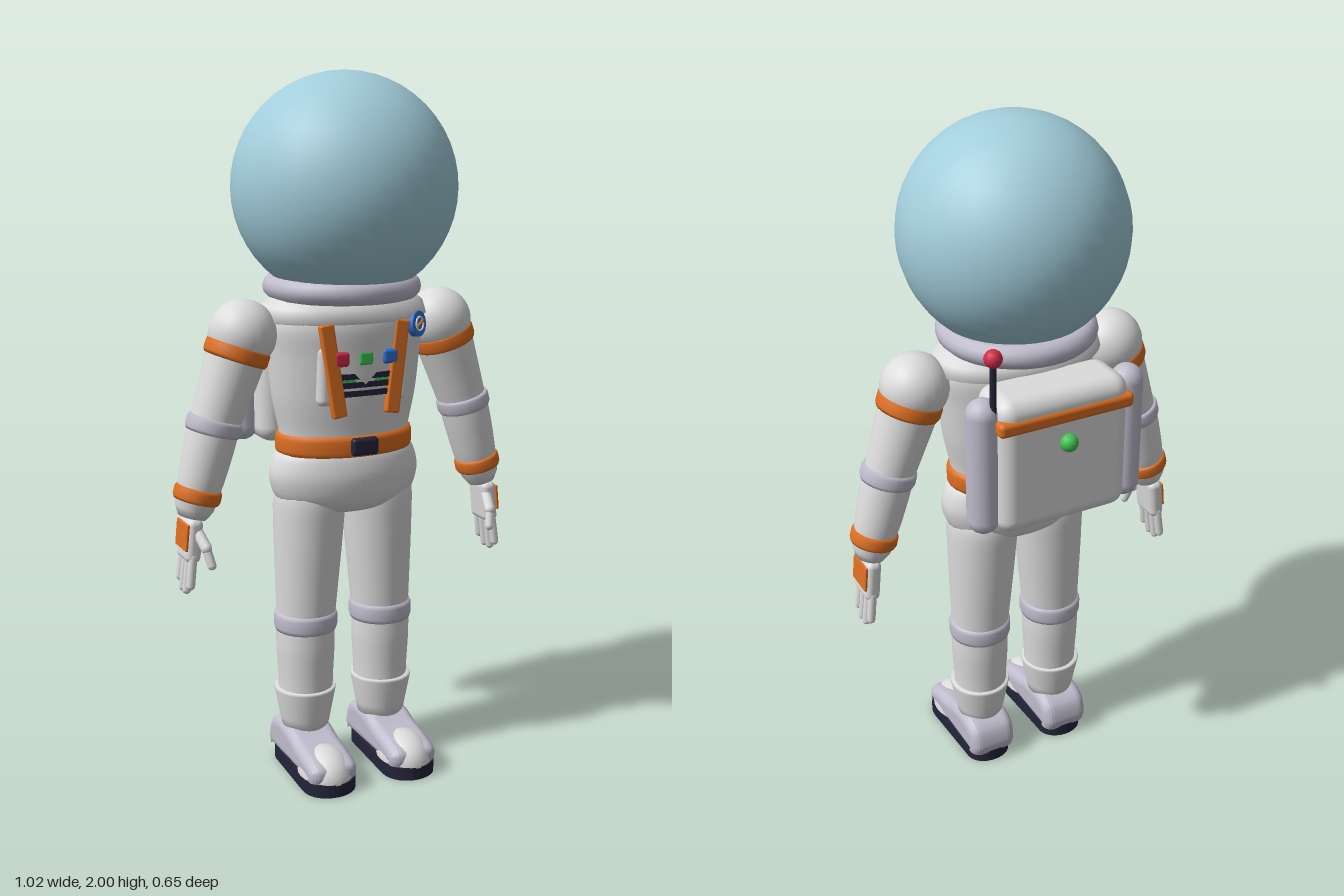
import * as THREE from 'three';
import { RoundedBoxGeometry } from 'three/addons/geometries/RoundedBoxGeometry.js';

const paint = (name, color) => new THREE.MeshStandardMaterial({ name, color });

export function createModel() {
  const white = paint('suit white', 0xdcdcdc);
  const lilac = paint('lilac grey', 0xc0bccd);
  const orange = paint('orange', 0xdd6f22);
  const glass = paint('helmet blue', 0xa2cddb);
  const dark = paint('dark navy', 0x24243a);
  const red = paint('red', 0xd02a48);
  const green = paint('green', 0x40c352);
  const blue = paint('blue', 0x2f6fd0);

  const model = new THREE.Group();
  model.name = 'astronaut';

  const add = (parent, name, geometry, material, x = 0, y = 0, z = 0) => {
    const mesh = new THREE.Mesh(geometry, material);
    mesh.name = name;
    mesh.position.set(x, y, z);
    parent.add(mesh);
    return mesh;
  };
  const group = (parent, name, x, y, z) => {
    const g = new THREE.Group();
    g.name = name;
    g.position.set(x, y, z);
    parent.add(g);
    return g;
  };
  // Smooth turned body; points are [radius, y] from bottom to top
  const turned = (points, smooth = true, segments = 32) => {
    let p = points.map(([r, y]) => new THREE.Vector2(r, y));
    if (smooth) p = new THREE.SplineCurve(p).getPoints(28).map(v => new THREE.Vector2(Math.max(0, v.x), v.y));
    return new THREE.LatheGeometry(p, segments);
  };
  // Soft band around a limb
  const band = (r, h) => turned([[r - 0.02, -h / 2], [r - 0.004, -h / 2 + 0.003], [r, -h / 4],
    [r, h / 4], [r - 0.004, h / 2 - 0.003], [r - 0.02, h / 2]], false);
  const box = (w, h, d, r) => new RoundedBoxGeometry(w, h, d, 3, r);
  // Round rod through a few points with domed ends
  const rod = (parent, name, a, b, r, material) => {
    const from = new THREE.Vector3(...a), to = new THREE.Vector3(...b);
    const mesh = add(parent, name, new THREE.CapsuleGeometry(r, from.distanceTo(to), 4, 10), material);
    mesh.position.copy(from).lerp(to, 0.5);
    mesh.quaternion.setFromUnitVectors(new THREE.Vector3(0, 1, 0), to.sub(from).normalize());
    return mesh;
  };

  // Helmet and neck ring
  add(model, 'helmet', new THREE.SphereGeometry(0.312, 36, 24), glass, 0, 1.688, 0.012);
  const ring = add(model, 'neckRing', new THREE.TorusGeometry(0.188, 0.034, 12, 36), lilac, 0, 1.418, -0.005);
  ring.rotation.x = Math.PI / 2;

  // Torso, yoke, hips and belt
  const flatten = (mesh, depth) => { mesh.scale.z = depth; return mesh; };
  flatten(add(model, 'torso', turned([[0.19, 0.96], [0.195, 1.02], [0.215, 1.12], [0.228, 1.24],
    [0.235, 1.32], [0.21, 1.38]]), white, 0, 0, 0.01), 0.64);
  flatten(add(model, 'yoke', turned([[0.225, 1.325], [0.25, 1.335], [0.24, 1.37], [0.2, 1.4], [0.15, 1.405]], false),
    white), 0.67);
  flatten(add(model, 'hips', turned([[0, 0.775], [0.13, 0.785], [0.2, 0.82], [0.225, 0.885], [0.215, 0.94],
    [0.195, 0.97]]), white, 0, 0, 0.01), 0.6);
  flatten(add(model, 'belt', band(0.205, 0.062), orange, 0, 0.985, 0.01), 0.66);
  add(model, 'buckle', box(0.08, 0.05, 0.03, 0.01), dark, 0, 0.987, 0.143);

  // Chest panel with buttons and display
  add(model, 'chestPanel', box(0.27, 0.17, 0.07, 0.02), white, 0, 1.19, 0.108);
  [[-0.072, red], [0, green], [0.075, blue]].forEach(([x, m]) =>
    add(model, 'chestButton', box(0.046, 0.042, 0.024, 0.01), m, x, 1.236, 0.146));
  [1.186, 1.162, 1.138].forEach(y => add(model, 'displayBar', new THREE.BoxGeometry(0.15, 0.016, 0.014), dark, 0, y, 0.144));
  add(model, 'displayLine', new THREE.BoxGeometry(0.14, 0.007, 0.012), green, 0, 1.174, 0.144);
  for (const s of [1, -1]) {
    const strap = add(model, 'strap', box(0.042, 0.26, 0.024, 0.006), orange, s * 0.097, 1.205, 0.145);
    strap.rotation.set(-0.04, 0, -s * 0.14);
  }
  // Round badge on the left breast
  const badge = group(model, 'badge', 0.172, 1.314, 0.118);
  badge.rotation.set(-0.1, 0.55, 0);
  add(badge, 'badgeDisc', new THREE.CylinderGeometry(0.036, 0.036, 0.02, 24), blue).rotation.x = Math.PI / 2;
  add(badge, 'badgeRing', new THREE.TorusGeometry(0.019, 0.003, 6, 20), white, 0, 0, 0.011);
  add(badge, 'badgeStripe', new THREE.BoxGeometry(0.034, 0.006, 0.006), orange, 0, 0, 0.012).rotation.z = 0.5;

  // Backpack
  const pack = group(model, 'backpack', 0, 0, -0.21);
  add(pack, 'packBody', box(0.39, 0.4, 0.17, 0.045), white, 0, 1.15, 0);
  add(pack, 'packBand', box(0.402, 0.042, 0.182, 0.014), orange, 0, 1.28, 0);
  add(pack, 'packButton', new THREE.SphereGeometry(0.026, 12, 8), green, 0, 1.203, -0.09);
  for (const s of [1, -1])
    add(pack, 'tank', new THREE.CapsuleGeometry(0.046, 0.31, 6, 16), lilac, s * 0.217, 1.15, -0.017);
  rod(pack, 'antenna', [0.2, 1.3, -0.046], [0.2, 1.465, -0.046], 0.009, dark);
  add(pack, 'antennaTip', new THREE.SphereGeometry(0.025, 12, 8), red, 0.2, 1.475, -0.048);

  // Shoe side profile, x forward and y up
  const shoeShape = (points) => {
    const sh = new THREE.Shape();
    sh.moveTo(...points[0]);
    sh.splineThru(points.slice(1).map(p => new THREE.Vector2(...p)));
    sh.closePath();
    return sh;
  };
  const slab = (shape, width, bevel) => {
    const g = new THREE.ExtrudeGeometry(shape, { depth: width - 2 * bevel, bevelThickness: bevel,
      bevelSize: bevel, bevelOffset: -bevel, bevelSegments: 5, curveSegments: 20 });
    return g.translate(0, 0, bevel - width / 2).rotateY(-Math.PI / 2);
  };
  const upper = shoeShape([[-0.1, 0.035], [-0.108, 0.07], [-0.09, 0.12], [-0.04, 0.145], [0.04, 0.14],
    [0.1, 0.12], [0.17, 0.105], [0.222, 0.085], [0.232, 0.06], [0.225, 0.035]]);
  const soleShape = new THREE.Shape();
  soleShape.moveTo(-0.068, -0.04);
  soleShape.bezierCurveTo(-0.075, -0.125, 0.075, -0.125, 0.068, -0.04);
  soleShape.lineTo(0.078, 0.17);
  soleShape.bezierCurveTo(0.082, 0.277, -0.082, 0.277, -0.078, 0.17);
  soleShape.closePath();

  for (const s of [1, -1]) {
    // Leg
    const leg = group(model, s > 0 ? 'leftLeg' : 'rightLeg', 0, 0, 0.005);
    const thigh = add(leg, 'thigh', turned([[0.083, 0.44], [0.09, 0.55], [0.1, 0.72], [0.102, 0.83], [0.08, 0.88]]),
      white, s * 0.12, 0, 0);
    thigh.geometry.translate(0, -0.45, 0);
    thigh.position.y = 0.45;
    thigh.rotation.z = s * 0.036;
    add(leg, 'kneeRing', band(0.092, 0.06), lilac, s * 0.12, 0.456, 0);
    add(leg, 'shin', turned([[0.078, 0.2], [0.08, 0.28], [0.085, 0.38], [0.084, 0.46]]), white, s * 0.121, 0, 0);
    add(leg, 'bootCuff', turned([[0.05, 0.125], [0.068, 0.13], [0.074, 0.16], [0.09, 0.245], [0.088, 0.252],
      [0.07, 0.252]], false), white, s * 0.123, 0, 0);
    add(leg, 'ankleBand', new THREE.CylinderGeometry(0.064, 0.06, 0.026, 24), orange, s * 0.124, 0.126, 0);

    // Boot
    const boot = group(model, s > 0 ? 'leftBoot' : 'rightBoot', s * 0.127, 0, 0);
    add(boot, 'bootUpper', slab(upper, 0.146, 0.03), lilac);
    const toe = add(boot, 'toeCap', new THREE.SphereGeometry(1, 24, 16, 0, Math.PI * 2, 0, Math.PI / 2), white, 0, 0.038, 0.155);
    toe.scale.set(0.077, 0.079, 0.096);
    add(boot, 'sole', new THREE.ExtrudeGeometry(soleShape, { depth: 0.038, bevelEnabled: false, curveSegments: 16 })
      .rotateX(-Math.PI / 2).scale(1, 1, -1).rotateZ(Math.PI).translate(0, 0.041, 0).rotateY(0), dark);
    const sole = boot.children[boot.children.length - 1];
    sole.geometry = new THREE.ExtrudeGeometry(soleShape, { depth: 0.038, bevelEnabled: false, curveSegments: 16 })
      .rotateX(Math.PI / 2).translate(0, 0.041, 0);

    // Upper arm, hanging along its own -y
    const arm = group(model, s > 0 ? 'leftUpperArm' : 'rightUpperArm', s * 0.302, 1.302, 0.006);
    arm.rotation.z = s * 0.34;
    add(arm, 'shoulder', new THREE.SphereGeometry(0.095, 28, 18), white);
    add(arm, 'upperSleeve', turned([[0.068, -0.28], [0.074, -0.2], [0.081, -0.1], [0.088, 0]]), white);
    add(arm, 'armBand', band(0.091, 0.05), orange, 0, -0.052, 0);

    // Forearm
    const fore = group(model, s > 0 ? 'leftForearm' : 'rightForearm', s * 0.39, 1.055, 0.006);
    fore.rotation.z = s * 0.27;
    add(fore, 'elbowRing', band(0.078, 0.048), lilac);
    add(fore, 'lowerSleeve', turned([[0.055, -0.21], [0.064, -0.15], [0.07, -0.06], [0.071, 0.01]]), white);
    add(fore, 'wristBand', band(0.067, 0.045), orange, 0, -0.195, 0);
    add(fore, 'gloveCuff', turned([[0, -0.262], [0.04, -0.26], [0.054, -0.235], [0.06, -0.2]], false), white);

    // Hand with four fingers and a forward thumb
    const hand = group(model, s > 0 ? 'leftHand' : 'rightHand', s * 0.467, 0.745, 0.006);
    hand.rotation.z = s * 0.1;
    add(hand, 'palm', box(0.044, 0.125, 0.1, 0.018), white);
    add(hand, 'handPlate', box(0.008, 0.075, 0.09, 0.003), orange, s * 0.023, 0.01, 0.002);
    for (let i = 0; i < 4; i++) {
      const z = 0.042 - i * 0.028, tip = [-0.125, -0.144, -0.144, -0.122][i];
      rod(hand, 'finger', [s * 0.002, -0.045, z * 0.95], [s * 0.004, tip, z * 1.05], 0.0125, white);
    }
    rod(hand, 'thumbBase', [-s * 0.008, 0.025, 0.035], [-s * 0.022, -0.01, 0.075], 0.016, white);
    rod(hand, 'thumb', [-s * 0.022, -0.01, 0.075], [-s * 0.036, -0.055, 0.09], 0.0125, white);
  }
  return model;
}
